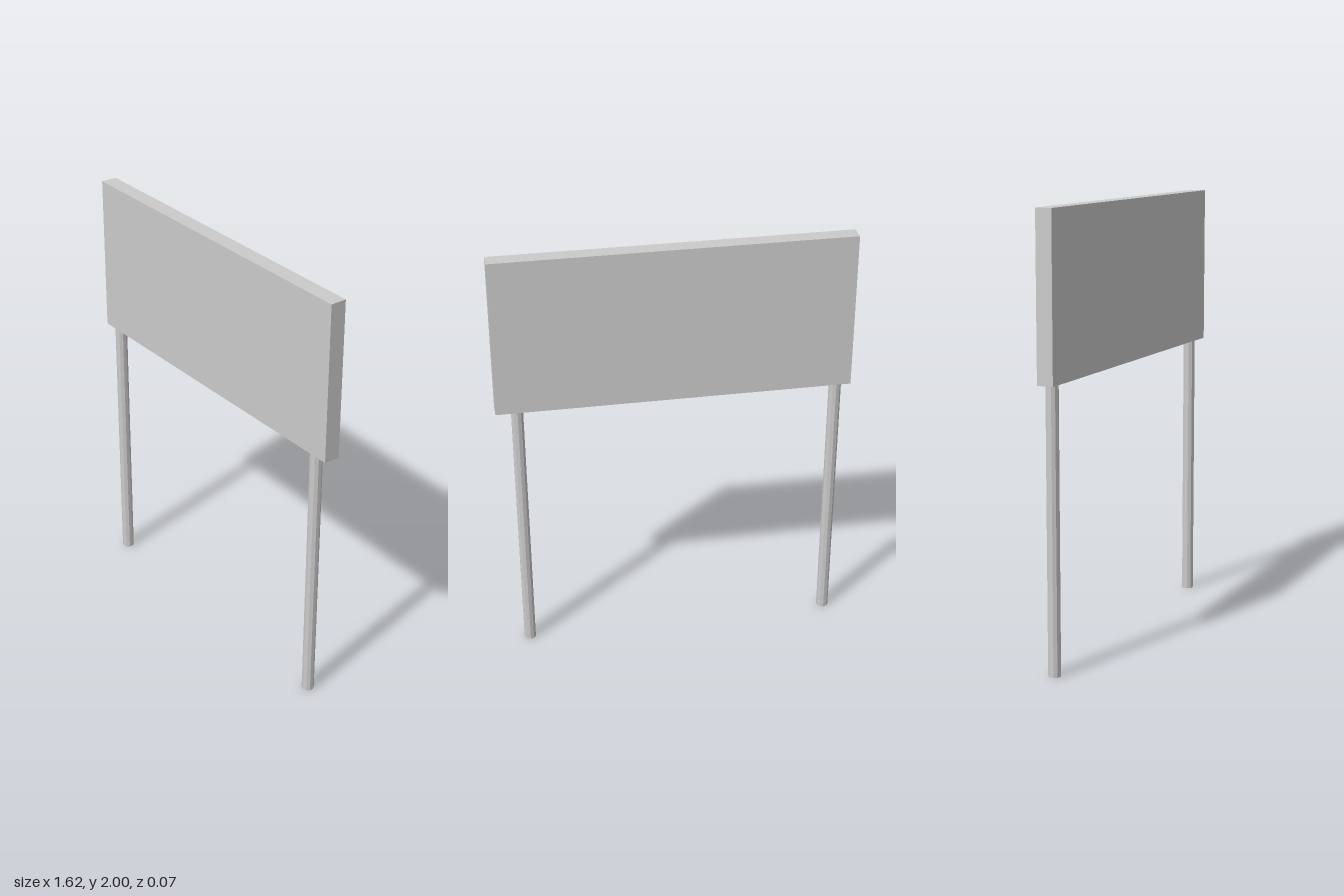
import * as THREE from 'three';

export function createModel() {
  const group = new THREE.Group();
  const material = new THREE.MeshStandardMaterial({ color: 0xcccccc, flatShading: true });

  const panelBottom = 1.27, top = 2;

  // Flat sign board
  const panel = new THREE.Mesh(new THREE.BoxGeometry(1.616, top - panelBottom, 0.074), material);
  panel.name = 'signPanel';
  panel.position.y = (panelBottom + top) / 2;
  group.add(panel);

  // Two ten-sided posts, set slightly off centre under the board
  const postGeometry = new THREE.CylinderGeometry(0.028, 0.028, panelBottom, 10);
  for (const [name, x] of [['rightPost', -0.745], ['leftPost', 0.71]]) {
    const post = new THREE.Mesh(postGeometry, material);
    post.name = name;
    post.position.set(x, panelBottom / 2, 0);
    group.add(post);
  }

  return group;
}
